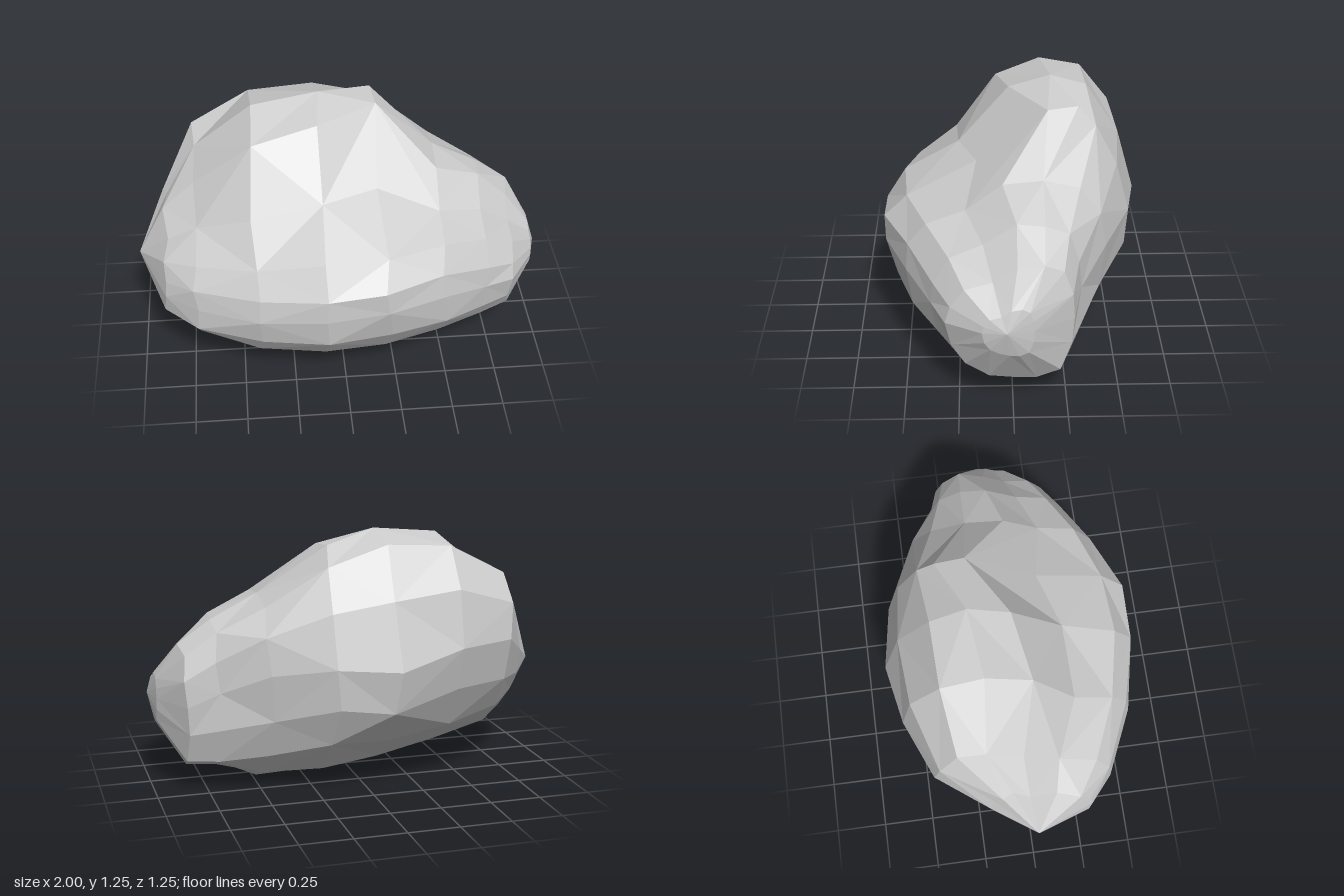
import * as THREE from 'three';

// Cross-sections along x. Each loop is [z, y] for: underside, low front, front,
// front shoulder, crest, back shoulder, back, low back
const SECTIONS = [
  [-0.87, [[0.06, 0.24], [0.23, 0.29], [0.31, 0.44], [0.24, 0.6], [-0.01, 0.74], [-0.14, 0.76], [-0.2, 0.6], [-0.08, 0.36]]],
  [-0.71, [[0.05, 0.15], [0.36, 0.25], [0.43, 0.44], [0.34, 0.64], [-0.02, 0.88], [-0.33, 1.03], [-0.45, 0.72], [-0.27, 0.34]]],
  [-0.42, [[0.05, 0.09], [0.46, 0.2], [0.56, 0.45], [0.46, 0.69], [0.06, 1.13], [-0.37, 1.18], [-0.57, 0.72], [-0.39, 0.3]]],
  [-0.1, [[0.04, 0.03], [0.5, 0.19], [0.62, 0.48], [0.52, 0.75], [0, 1.19], [-0.38, 1.2], [-0.63, 0.64], [-0.44, 0.26]]],
  [0.2, [[-0.02, 0.01], [0.45, 0.17], [0.61, 0.51], [0.5, 0.75], [-0.18, 1.19], [-0.41, 1.11], [-0.58, 0.66], [-0.47, 0.27]]],
  [0.48, [[-0.05, 0.01], [0.37, 0.18], [0.5, 0.5], [0.4, 0.74], [0.04, 0.94], [-0.32, 0.92], [-0.45, 0.62], [-0.34, 0.2]]],
  [0.7, [[-0.05, 0.11], [0.27, 0.18], [0.38, 0.45], [0.29, 0.68], [-0.02, 0.85], [-0.26, 0.8], [-0.32, 0.52], [-0.27, 0.17]]],
  [0.85, [[0, 0.13], [0.22, 0.21], [0.31, 0.43], [0.22, 0.6], [-0.02, 0.71], [-0.23, 0.69], [-0.28, 0.45], [-0.22, 0.17]]],
];
const SIDES = 16;

function seeded(seed) {
  return () => {
    seed = (seed * 16807) % 2147483647;
    return seed / 2147483647 - 0.5;
  };
}

function rockGeometry() {
  const rand = seeded(77);
  // Smooth each loop, then roughen the points between the main corners
  const rings = SECTIONS.map(([x, loop]) => {
    const curve = new THREE.CatmullRomCurve3(
      loop.map(([z, y]) => new THREE.Vector3(x, y, z)), true, 'catmullrom', 0.5);
    return Array.from({ length: SIDES }, (_, j) => {
      const p = curve.getPoint(j / SIDES);
      if (j === 7) {
        // Hollow front slope between shoulder and crest
        const [[z0, y0], [z1, y1]] = [loop[3], loop[4]];
        p.set(x, (y0 + y1) / 2 - 0.13 * (y1 - y0), (z0 + z1) / 2);
      }
      if (j % 2) {
        p.x += rand() * 0.05;
        p.y = Math.max(0, p.y + rand() * 0.03);
        p.z += rand() * 0.02;
      }
      return p;
    });
  });

  // Small blunt ring at the left end
  const nose = new THREE.Vector3(1, 0.46, 0.03);
  rings.push(rings[rings.length - 1].map((p) => {
    const q = p.clone().lerp(nose, 0.6);
    q.x = 0.97;
    return q;
  }));

  const pos = [];
  const tri = (...pts) => pts.forEach((p) => pos.push(p.x, p.y, p.z));
  for (let i = 0; i < rings.length - 1; i++) {
    for (let j = 0; j < SIDES; j++) {
      const k = (j + 1) % SIDES;
      const a = rings[i][j], b = rings[i][k], c = rings[i + 1][j], d = rings[i + 1][k];
      // Alternate diagonals for irregular facets
      if ((i + j) % 2) {
        tri(a, c, b);
        tri(b, c, d);
      } else {
        tri(a, c, d);
        tri(a, d, b);
      }
    }
  }

  // Pointed ends
  const tail = new THREE.Vector3(-1, 0.5, 0.02);
  const last = rings[rings.length - 1];
  for (let j = 0; j < SIDES; j++) {
    const k = (j + 1) % SIDES;
    tri(tail, rings[0][j], rings[0][k]);
    tri(nose, last[k], last[j]);
  }

  const geometry = new THREE.BufferGeometry();
  geometry.setAttribute('position', new THREE.Float32BufferAttribute(pos, 3));
  geometry.computeVertexNormals();
  return geometry;
}

export function createModel() {
  const group = new THREE.Group();
  group.name = 'rock';
  const boulder = new THREE.Mesh(
    rockGeometry(),
    new THREE.MeshStandardMaterial({ color: 0xcccccc, flatShading: true }));
  boulder.name = 'boulder';
  group.add(boulder);
  return group;
}
